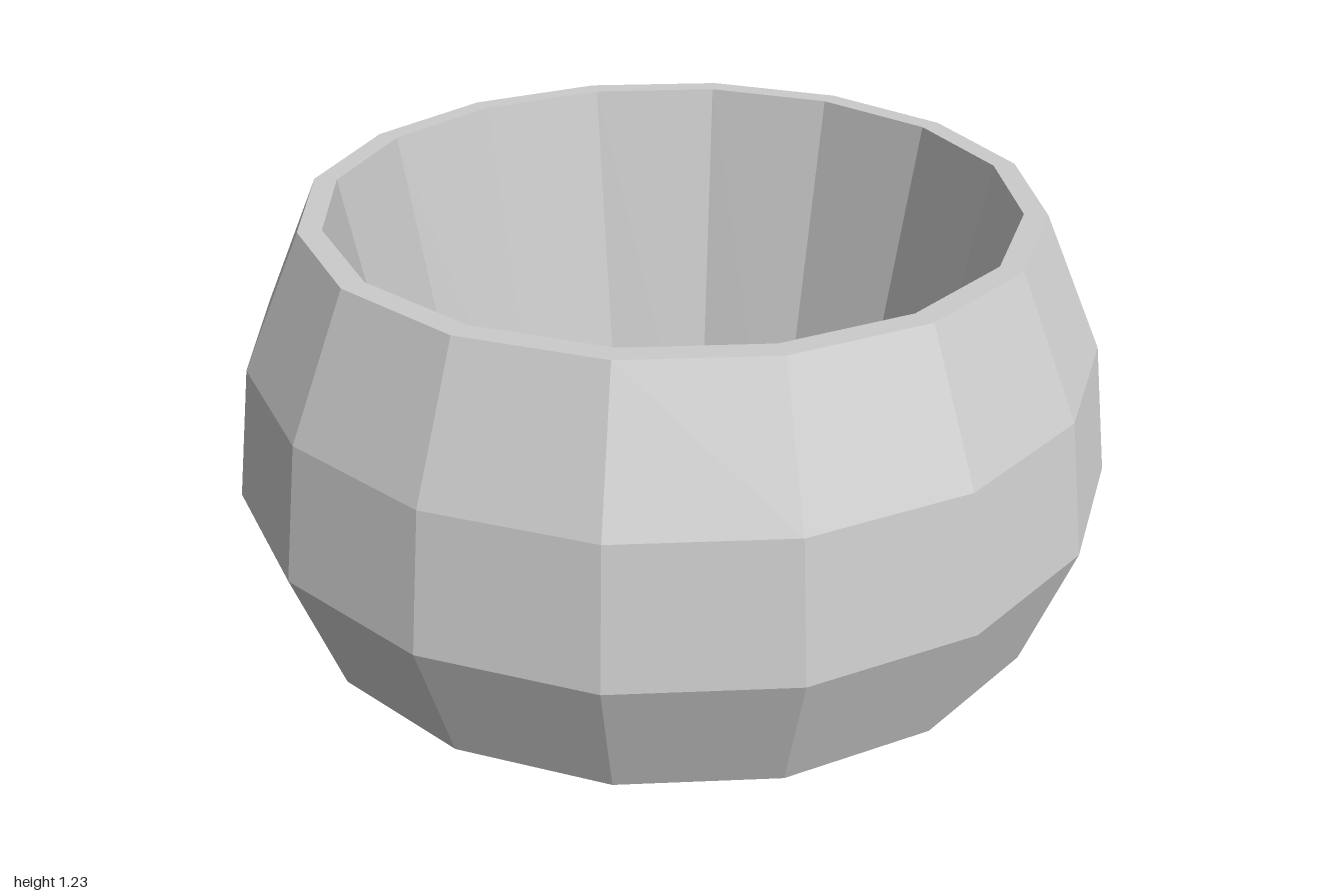
import * as THREE from 'three';

const SIDES = 16;

export function createModel() {
  const group = new THREE.Group();
  group.name = 'bowl';
  const material = new THREE.MeshStandardMaterial({ color: 0xcccccc, flatShading: true });

  // Revolves a profile of [radius, height] pairs into a faceted part
  const addLathe = (name, profile) => {
    const points = profile.map(([r, y]) => new THREE.Vector2(r, y));
    const mesh = new THREE.Mesh(new THREE.LatheGeometry(points, SIDES), material);
    mesh.name = name;
    group.add(mesh);
  };

  // Flat disc whose corners line up with the lathe facets
  const addDisc = (name, radius, y, facing) => {
    const geometry = new THREE.CircleGeometry(radius, SIDES);
    geometry.rotateX(-facing * Math.PI / 2).translate(0, y, 0);
    const mesh = new THREE.Mesh(geometry, material);
    mesh.name = name;
    group.add(mesh);
  };

  // Bulging outside, flat rim and straight tapering inside
  addLathe('outerWall', [[0.49, 0], [0.893, 0.306], [1, 0.612], [0.955, 0.918], [0.816, 1.225]]);
  addLathe('rim', [[0.816, 1.225], [0.764, 1.225]]);
  addLathe('innerWall', [[0.764, 1.225], [0.552, 0.1]]);

  // Inside floor and underside
  addDisc('innerFloor', 0.552, 0.1, 1);
  addDisc('base', 0.49, 0, -1);

  return group;
}
